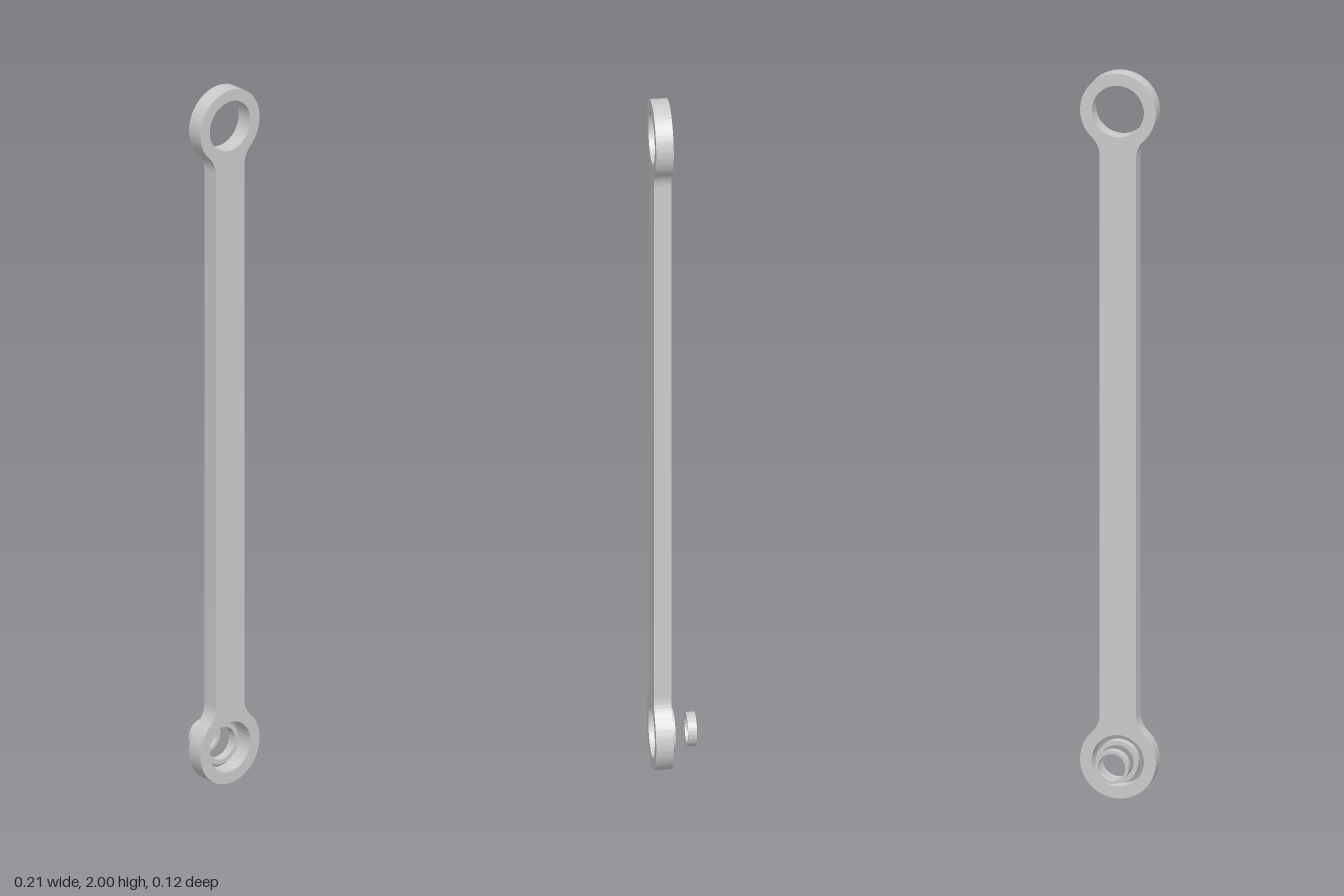
import * as THREE from 'three';
import { toCreasedNormals } from 'three/addons/utils/BufferGeometryUtils.js';

const END_R = 0.104, HOLE_R = 0.071, HALF_W = 0.05, FILLET = 0.07;
const LOW = END_R, HIGH = 2 - END_R;

const material = new THREE.MeshStandardMaterial({ color: 0xcccccc });

// Extrudes a shape between two z planes, smooth around curves, sharp at rims
function plate(name, shape, zBack, zFront) {
  const extruded = new THREE.ExtrudeGeometry(shape, {
    depth: zFront - zBack, bevelEnabled: false, curveSegments: 40,
  });
  const mesh = new THREE.Mesh(toCreasedNormals(extruded, 0.6), material);
  mesh.name = name;
  mesh.position.z = zBack;
  return mesh;
}

function circlePath(y, r) {
  return new THREE.Path().absarc(0, y, r, 0, Math.PI * 2, true);
}

function ring(name, outer, inner, zBack, zFront) {
  const shape = new THREE.Shape().absarc(0, LOW, outer, 0, Math.PI * 2, false);
  shape.holes.push(circlePath(LOW, inner));
  return plate(name, shape, zBack, zFront);
}

// Bar with a round eye at each end, blended by tangent fillets
function linkShape() {
  const fx = HALF_W + FILLET;
  const dy = Math.sqrt((END_R + FILLET) ** 2 - fx ** 2);
  const a = Math.atan2(dy, fx), PI = Math.PI;
  const s = new THREE.Shape();
  s.absarc(0, LOW, END_R, PI - a, 2 * PI + a, false);
  s.absarc(fx, LOW + dy, FILLET, PI + a, PI, true);
  s.absarc(fx, HIGH - dy, FILLET, PI, PI - a, true);
  s.absarc(0, HIGH, END_R, -a, PI + a, false);
  s.absarc(-fx, HIGH - dy, FILLET, a, 0, true);
  s.absarc(-fx, LOW + dy, FILLET, 0, -a, true);
  s.holes.push(circlePath(LOW, HOLE_R), circlePath(HIGH, HOLE_R));
  return s;
}

export function createModel() {
  const group = new THREE.Group();
  group.name = 'connectingLink';
  group.add(
    plate('linkBar', linkShape(), 0.011, 0.058),
    // Loose rings in and behind the lower eye
    ring('outerBushing', 0.058, 0.046, 0, 0.025),
    ring('innerBushing', 0.046, 0.037, -0.059, -0.035),
  );
  return group;
}
